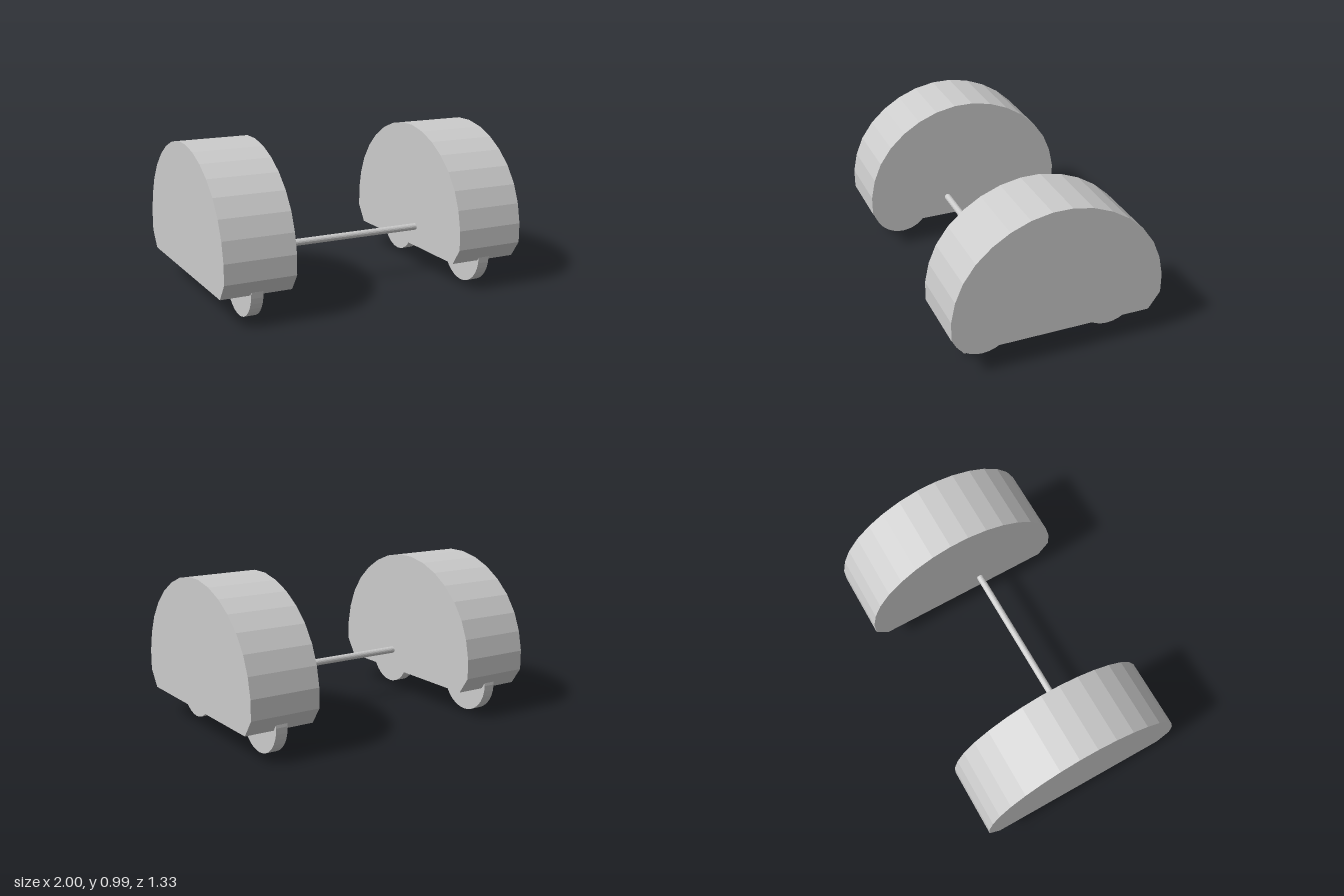
import * as THREE from 'three';

const material = new THREE.MeshStandardMaterial({ color: 0xcccccc, flatShading: true });

function addMesh(parent, name, geometry, x, y, z) {
  const mesh = new THREE.Mesh(geometry, material);
  mesh.name = name;
  mesh.position.set(x, y, z);
  parent.add(mesh);
}

// Cylinder lying along x
function crossCylinder(radius, length, sides) {
  return new THREE.CylinderGeometry(radius, radius, length, sides).rotateZ(Math.PI / 2);
}

// Domed side profile with a flat, chamfered underside, as [z, y], mirrored front to back
function podGeometry(width) {
  const half = [
    [0.593, 0.18], [0.667, 0.286], [0.667, 0.41], [0.641, 0.535], [0.593, 0.65],
    [0.517, 0.757], [0.42, 0.845], [0.312, 0.912], [0.191, 0.96], [0.062, 0.985],
  ];
  const mirrored = half.map(([z, y]) => [-z, y]).reverse();
  const shape = new THREE.Shape([...half, ...mirrored].map(([z, y]) => new THREE.Vector2(z, y)));
  return new THREE.ExtrudeGeometry(shape, { depth: width, bevelEnabled: false })
    .translate(0, 0, -width / 2)
    .rotateY(-Math.PI / 2);
}

export function createModel() {
  const model = new THREE.Group();
  model.name = 'twinPodCarriage';

  const pod = podGeometry(0.447);
  const wheel = crossCylinder(0.2, 0.076, 32);

  // A pod on two wheels at each side
  for (const [side, sign] of [['left', 1], ['right', -1]]) {
    const unit = new THREE.Group();
    unit.name = `${side}Unit`;
    unit.position.x = sign * 0.7765;
    addMesh(unit, `${side}Pod`, pod, 0, 0, 0);
    addMesh(unit, `${side}FrontWheel`, wheel, 0, 0.2, 0.407);
    addMesh(unit, `${side}BackWheel`, wheel, 0, 0.2, -0.422);
    model.add(unit);
  }

  // Thin rod joining the pods
  addMesh(model, 'connectingRod', crossCylinder(0.022, 1.12, 16), 0, 0.312, 0.127);

  return model;
}
